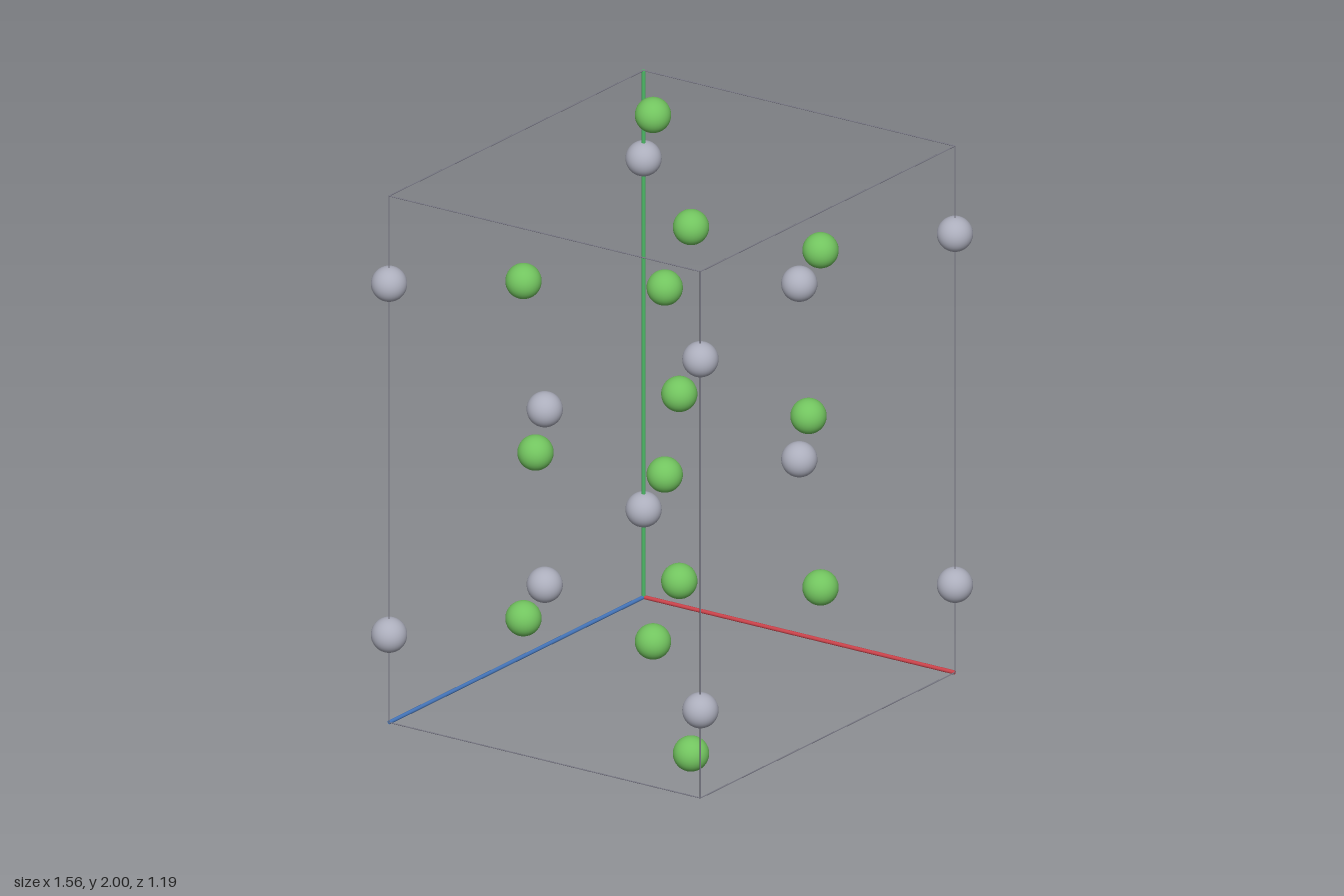
import * as THREE from 'three';

const R = 0.057;          // atom radius
const H = 0.943;          // half height of the cell
const A = 0.5435;         // half length of the cell along x
const SKEW = 0.1775;      // x shift of the front and back faces
const D = 0.537;          // half depth of the cell

const mat = (name, color) => {
  const m = new THREE.MeshStandardMaterial({ color });
  m.name = name;
  return m;
};

export function createModel() {
  const model = new THREE.Group();
  model.name = 'crystalUnitCell';
  const green = mat('green atom', 0x72c45f);
  const grey = mat('grey atom', 0xacaebc);
  const frame = mat('grey frame', 0x777783);
  const red = mat('red axis', 0xc8424a);
  const blue = mat('blue axis', 0x4474b8);
  const leaf = mat('green axis', 0x4cb866);

  const sphere = new THREE.SphereGeometry(R, 32, 20);
  const atom = (name, material, x, y, z) => {
    const m = new THREE.Mesh(sphere, material);
    m.name = name;
    m.position.set(x, y, z);
    model.add(m);
  };

  // Thin round bar between two points
  const bar = (name, material, a, b, r) => {
    const dir = b.clone().sub(a);
    const m = new THREE.Mesh(new THREE.CylinderGeometry(r, r, dir.length(), 12), material);
    m.name = name;
    m.position.copy(a).add(b).multiplyScalar(0.5);
    m.quaternion.setFromUnitVectors(new THREE.Vector3(0, 1, 0), dir.normalize());
    model.add(m);
  };

  // Slanted cell: signs i, j, k pick the corner along x, y, z
  const corner = (i, j, k) => new THREE.Vector3(i * A - k * SKEW, 1 + j * H, k * D);
  const S = [-1, 1];
  for (const p of S) for (const q of S) {
    const origin = p < 0 && q < 0;
    const r = origin ? 0.0065 : 0.002;
    bar(origin ? 'xAxis' : 'cellEdgeX', origin ? red : frame, corner(-1, p, q), corner(1, p, q), r);
    bar(origin ? 'yAxis' : 'cellEdgeY', origin ? leaf : frame, corner(p, -1, q), corner(p, 1, q), r);
    bar(origin ? 'zAxis' : 'cellEdgeZ', origin ? blue : frame, corner(p, q, -1), corner(p, q, 1), r);
  }

  // Grey atoms on the upright edges and on the front and back faces
  for (const k of S) for (const v of S) {
    for (const i of S) atom('greyEdgeAtom', grey, i * A - k * SKEW, 1 + v * H * 2 / 3, k * D);
    atom('greyFaceAtom', grey, -k * SKEW, 1 + v * H / 3, k * D);
  }

  // Green atoms: x on the front layer (mirrored through the centre), height from mid
  const layers = [[0.213, H], [-0.372, 0.604], [0.172, 0.335], [-0.33, 0]];
  for (const [x, h] of layers) for (const k of S) {
    for (const y of h ? [1 - h, 1 + h] : [1]) atom('greenAtom', green, k * x, y, k * 0.295);
  }
  return model;
}
